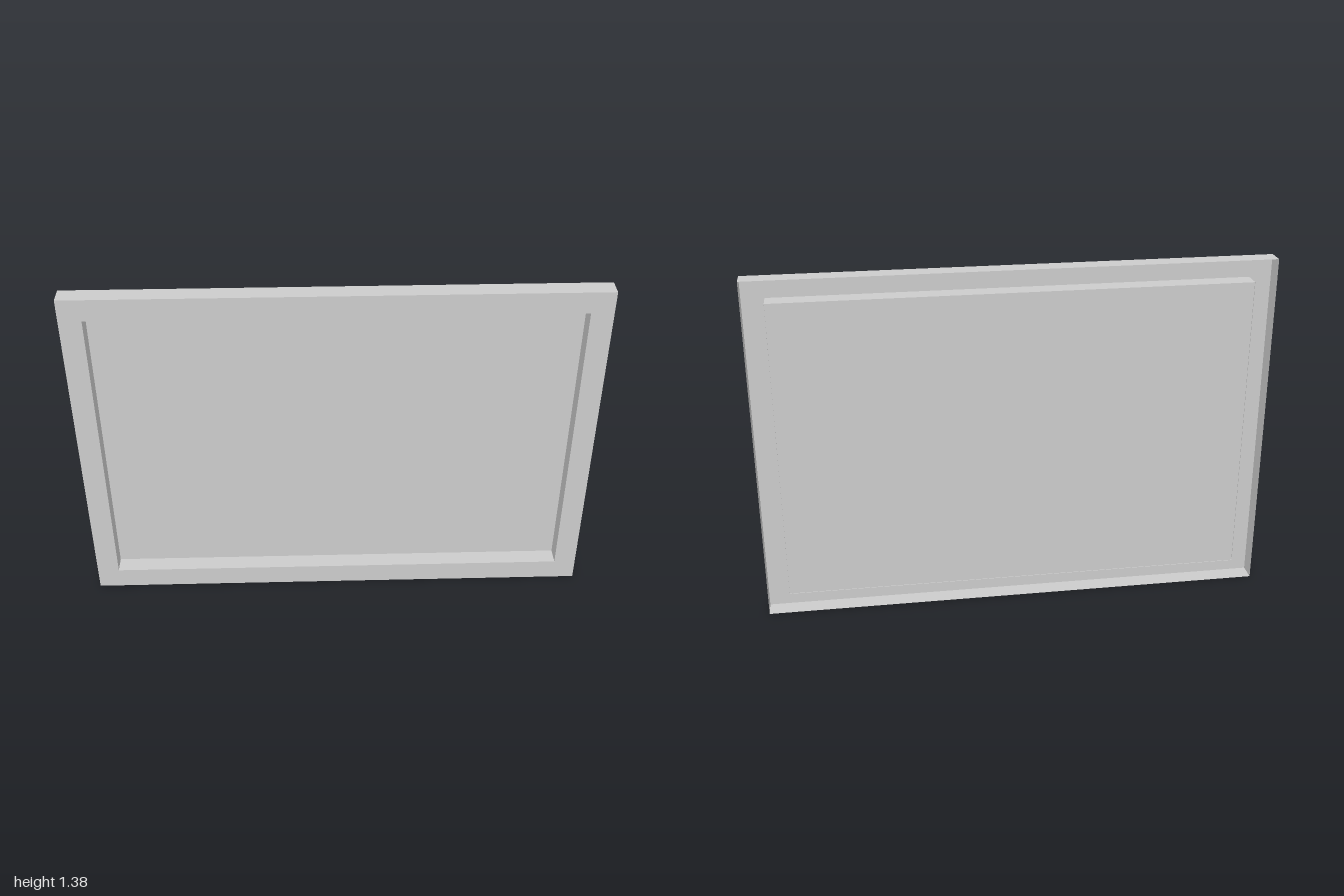
import * as THREE from 'three';

const W = 2, H = 1.38, D = 0.072, MARGIN = 0.086;
const material = new THREE.MeshStandardMaterial({ color: 0xcccccc, side: THREE.DoubleSide, flatShading: true });

// Corners of the frame rectangle, inset from the outside edge
function rectangle(inset) {
  const x = W / 2 - inset, lo = inset, hi = H - inset;
  return [[-x, lo], [x, lo], [x, hi], [-x, hi]].map(([a, b]) => new THREE.Vector2(a, b));
}

function addMesh(parent, name, geometry) {
  const mesh = new THREE.Mesh(geometry, material);
  mesh.name = name;
  parent.add(mesh);
  return mesh;
}

// Four thin walls running the full depth, open at front and back
function addWalls(parent, name, inset, outward) {
  const walls = new THREE.Group();
  walls.name = name;
  const w = W - 2 * inset, h = H - 2 * inset, s = outward ? 1 : -1;
  for (const side of [-1, 1]) {
    const upright = addMesh(walls, side > 0 ? 'leftWall' : 'rightWall', new THREE.PlaneGeometry(D, h));
    upright.rotation.y = side * s * Math.PI / 2;
    upright.position.set(side * w / 2, H / 2, 0);
    const level = addMesh(walls, side > 0 ? 'topWall' : 'bottomWall', new THREE.PlaneGeometry(w, D));
    level.rotation.x = -side * s * Math.PI / 2;
    level.position.set(0, H / 2 + side * h / 2, 0);
  }
  parent.add(walls);
}

export function createModel() {
  const model = new THREE.Group();
  model.name = 'pictureFrame';

  // Front border with the picture opening
  const border = new THREE.Shape(rectangle(0));
  border.holes.push(new THREE.Path(rectangle(MARGIN).reverse()));
  addMesh(model, 'frontBorder', new THREE.ShapeGeometry(border)).position.z = D / 2;

  // Outer rim and the sides of the recess
  addWalls(model, 'outerRim', 0, true);
  addWalls(model, 'recessSides', MARGIN, false);

  // Picture panel, just inside the back edge of the recess
  const panel = addMesh(model, 'picturePanel', new THREE.PlaneGeometry(W - 2 * MARGIN, H - 2 * MARGIN));
  panel.position.set(0, H / 2, -D / 2 + 0.003);

  return model;
}
